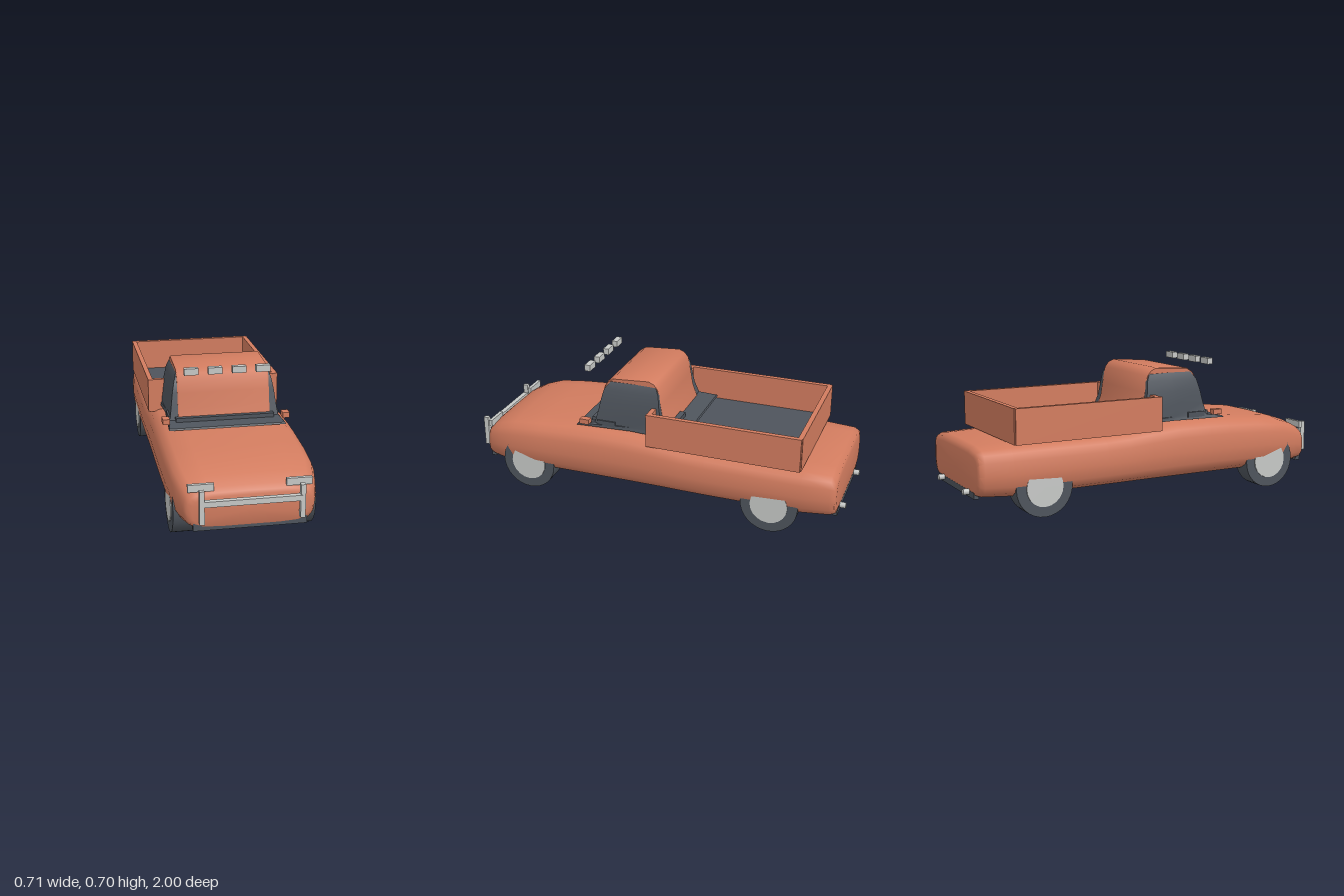
import * as THREE from 'three';
import { toCreasedNormals } from 'three/addons/utils/BufferGeometryUtils.js';

const paint = new THREE.MeshStandardMaterial({ color: 0xd27c5f });
paint.name = 'copper paint';
const dark = new THREE.MeshStandardMaterial({ color: 0x4e545c });
dark.name = 'dark grey';
const metal = new THREE.MeshStandardMaterial({ color: 0xc6c8c6 });
metal.name = 'light metal';

export function createModel() {
  const model = new THREE.Group();
  model.name = 'pickupTruck';

  const add = (name, geometry, material) => {
    const mesh = new THREE.Mesh(geometry, material);
    mesh.name = name;
    model.add(mesh);
    return mesh;
  };
  // Box given by its limits on each axis
  const box = (name, material, [x0, x1], [y0, y1], [z0, z1]) =>
    add(name, new THREE.BoxGeometry(x1 - x0, y1 - y0, z1 - z0), material)
      .position.set((x0 + x1) / 2, (y0 + y1) / 2, (z0 + z1) / 2);
  // The same box on both sides
  const pair = (name, material, [x0, x1], y, z) => {
    box(name + 'Left', material, [x0, x1], y, z);
    box(name + 'Right', material, [-x1, -x0], y, z);
  };

  // Closed skin through rings of points, with a fan at each end
  const loft = (rings, crease) => {
    const n = rings[0].length;
    const position = rings.flat(2);
    const index = [];
    for (let i = 0; i < rings.length - 1; i++) {
      for (let j = 0; j < n; j++) {
        const k = (j + 1) % n;
        const a = i * n + j, b = i * n + k, c = b + n, d = a + n;
        index.push(a, b, c, a, c, d);
      }
    }
    [0, rings.length - 1].forEach((r) => {
      const centre = position.length / 3;
      for (let axis = 0; axis < 3; axis++) {
        position.push(rings[r].reduce((sum, p) => sum + p[axis], 0) / n);
      }
      for (let j = 0; j < n; j++) {
        const a = r * n + j, b = r * n + (j + 1) % n;
        index.push(centre, ...(r ? [a, b] : [b, a]));
      }
    });
    const g = new THREE.BufferGeometry();
    g.setAttribute('position', new THREE.Float32BufferAttribute(position, 3));
    g.setIndex(index);
    return toCreasedNormals(g.toNonIndexed(), crease);
  };

  // Body: one rounded section scaled along the length
  const half = [[0.5, 0], [0.8, 0.035], [0.92, 0.12], [0.98, 0.25], [1, 0.47],
    [0.985, 0.72], [0.945, 0.86], [0.85, 0.94], [0.6, 0.99]];
  const section = [[0, 0], ...half, [0, 1], ...half.map(([x, v]) => [-x, v]).reverse()];
  // z, half width, bottom, top
  const stations = [
    [-0.97, 0.3, 0.14, 0.32], [-0.965, 0.325, 0.12, 0.345], [-0.94, 0.335, 0.11, 0.358],
    [-0.8, 0.347, 0.1, 0.362], [-0.3, 0.35, 0.1, 0.364], [-0.17, 0.35, 0.1, 0.371],
    [-0.05, 0.35, 0.1, 0.386], [0.12, 0.352, 0.1, 0.4], [0.3, 0.354, 0.1, 0.402],
    [0.42, 0.354, 0.1, 0.398], [0.62, 0.352, 0.1, 0.385], [0.77, 0.346, 0.1, 0.369],
    [0.86, 0.328, 0.104, 0.34], [0.92, 0.307, 0.11, 0.308], [0.943, 0.293, 0.115, 0.288],
    [0.95, 0.27, 0.128, 0.272],
  ];
  add('body', loft(stations.map(([z, w, b, t]) =>
    section.map(([x, v]) => [x * w, b + v * (t - b), z])), 1.0), paint);

  // Cab glass with flared base: y, rear z, front z, corner half width, middle half width
  const cab = [
    [0.398, -0.17, 0.41, 0.295, 0.275], [0.406, -0.165, 0.405, 0.293, 0.273],
    [0.418, -0.068, 0.315, 0.277, 0.272], [0.48, -0.045, 0.298, 0.268, 0.272],
    [0.55, -0.033, 0.283, 0.259, 0.266], [0.605, -0.026, 0.268, 0.248, 0.252],
    [0.64, -0.01, 0.24, 0.236, 0.238], [0.653, 0.02, 0.215, 0.225, 0.226],
  ];
  add('cabGlass', loft(cab.map(([y, z0, z1, x, m]) => [
    [x, y, z1], [m, y, (z0 + z1) / 2], [x, y, z0],
    [-x, y, z0], [-m, y, (z0 + z1) / 2], [-x, y, z1],
  ]), 0.6), dark);

  // Painted cab shell: side profile (z, y) extruded across the width
  const profile = [[0.322, 0.41], [0.303, 0.48], [0.288, 0.55], [0.274, 0.61], [0.255, 0.64],
    [0.222, 0.662], [0.12, 0.669], [0.03, 0.675], [0, 0.662], [-0.022, 0.635],
    [-0.038, 0.55], [-0.05, 0.48], [-0.076, 0.41]];
  const shellShape = new THREE.Shape(profile.map(([z, y]) => new THREE.Vector2(-z, y)));
  const shell = new THREE.ExtrudeGeometry(shellShape, { depth: 0.452, bevelEnabled: true,
    bevelSize: 0.004, bevelOffset: -0.004, bevelThickness: 0.008, bevelSegments: 1 });
  shell.translate(0, 0, -0.226).rotateY(Math.PI / 2);
  add('cabShell', toCreasedNormals(shell, 0.7), paint);

  // Cab fittings
  box('cowl', dark, [-0.25, 0.25], [0.4, 0.435], [0.305, 0.34]);
  box('rearCabBlock', dark, [0.04, 0.18], [0.41, 0.438], [-0.1, -0.07]);
  pair('doorHandle', dark, [0.255, 0.282], [0.408, 0.436], [0.2, 0.3]);
  pair('mirror', paint, [0.286, 0.321], [0.42, 0.447], [0.33, 0.38]);
  [-0.179, -0.06, 0.06, 0.179].forEach((x, i) =>
    box('roofLight' + (i + 1), metal, [x - 0.035, x + 0.035], [0.671, 0.704], [0.36, 0.39]));

  // Cargo bed
  pair('bedSide', paint, [0.322, 0.347], [0.365, 0.54], [-0.79, 0.005]);
  box('bedTailgate', paint, [-0.338, 0.338], [0.365, 0.54], [-0.795, -0.77]);
  box('bedFrontWall', paint, [-0.338, 0.338], [0.365, 0.54], [-0.02, 0.004]);
  box('bedFloor', dark, [-0.323, 0.323], [0.362, 0.374], [-0.772, -0.13]);

  // Nose
  pair('headlight', metal, [0.167, 0.288], [0.295, 0.33], [0.92, 0.938]);
  pair('grilleGuardPost', metal, [0.22, 0.243], [0.158, 0.319], [0.97, 0.996]);
  box('grilleGuardBar', metal, [-0.231, 0.231], [0.243, 0.27], [0.974, 1]);
  box('frontBumper', dark, [-0.265, 0.265], [0.108, 0.146], [0.92, 0.948]);

  // Tail
  box('rearBumper', dark, [-0.25, 0.25], [0.106, 0.138], [-0.97, -0.945]);
  for (const x of [-0.18, 0.18]) {
    const pipe = add('exhaustPipe', new THREE.CylinderGeometry(0.015, 0.015, 0.08, 12), metal);
    pipe.rotation.x = Math.PI / 2;
    pipe.position.set(x, 0.132, -0.96);
  }

  // Wheels with hubs showing on both faces
  const tyre = new THREE.CylinderGeometry(0.147, 0.147, 0.1, 32).rotateZ(Math.PI / 2);
  const hub = new THREE.CylinderGeometry(0.096, 0.096, 0.11, 20).rotateZ(Math.PI / 2);
  for (const z of [0.682, -0.643]) {
    for (const x of [-0.289, 0.289]) {
      add('tyre', tyre, dark).position.set(x, 0.147, z);
      add('wheelHub', hub, metal).position.set(x, 0.147, z);
    }
  }
  return model;
}
